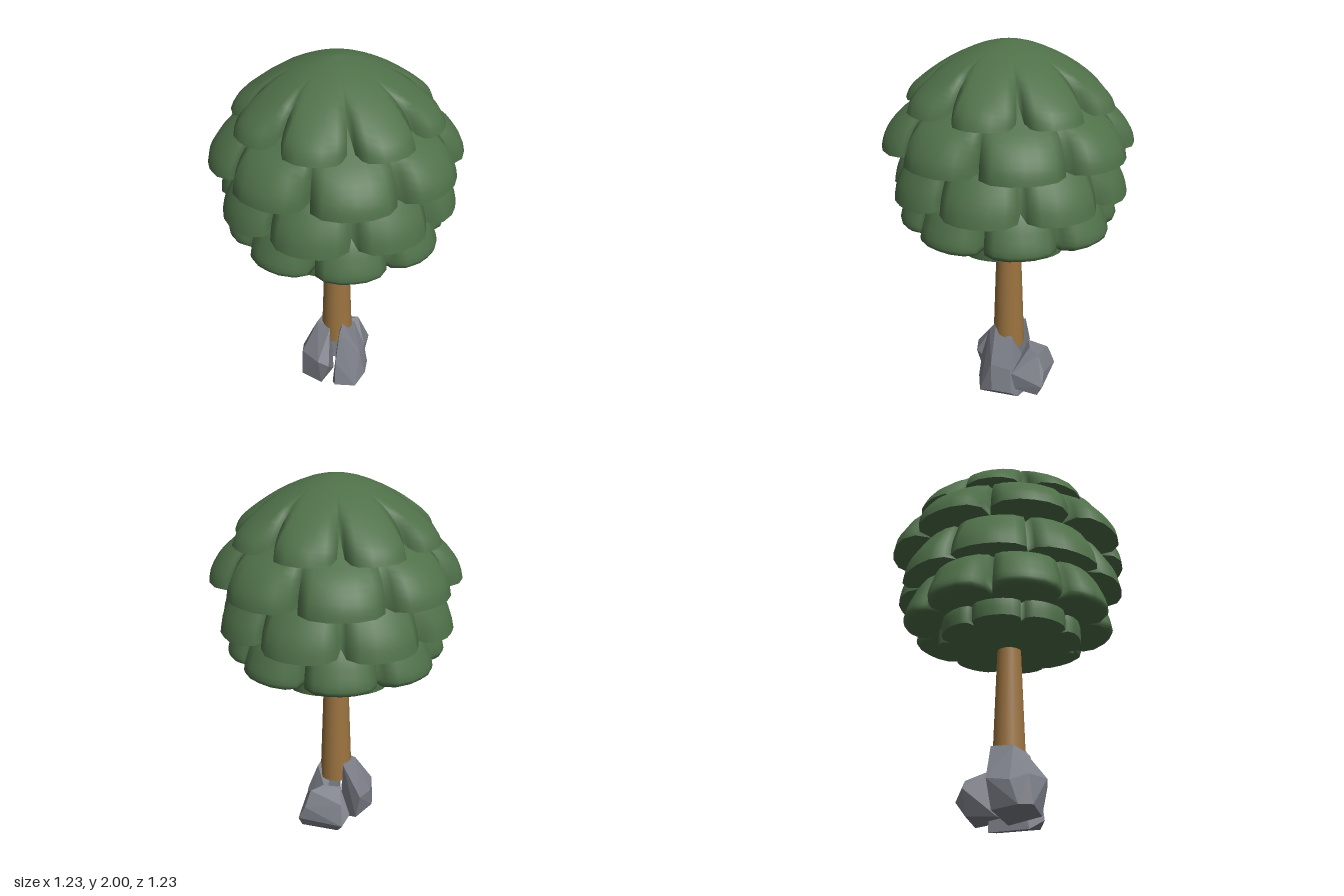
import * as THREE from 'three';
import { ConvexGeometry } from 'three/addons/geometries/ConvexGeometry.js';

const leafMaterial = new THREE.MeshStandardMaterial({ color: 0x4f7049 });
const barkMaterial = new THREE.MeshStandardMaterial({ color: 0x9c7440 });
const stoneMaterial = new THREE.MeshStandardMaterial({ color: 0x7e818a, flatShading: true });

const LOBES = 8;
// Half a lobe: angle from its middle (degrees) and how far the edge dips towards the notch
const HALF_LOBE = [[0, 0], [6.6, 0.02], [14.3, 0.18], [20.2, 0.5], [22.5, 1]];

// Columns around one tier, as angle and dip
function lobeColumns(offset) {
  const lobe = [...HALF_LOBE.slice(1).reverse().map(([a, d]) => [-a, d]), ...HALF_LOBE.slice(0, -1)];
  const columns = [];
  for (let i = 0; i < LOBES; i++) {
    for (const [a, d] of lobe) columns.push([THREE.MathUtils.degToRad(a + i * 45 + offset), d]);
  }
  return columns;
}

// Closed rings joined into a surface
function loft(rings) {
  const n = rings[0].length;
  const index = [];
  for (let i = 0; i < rings.length - 1; i++) {
    for (let j = 0; j < n; j++) {
      const a = i * n + j, b = i * n + (j + 1) % n;
      index.push(a, b, a + n, b, b + n, a + n);
    }
  }
  const geometry = new THREE.BufferGeometry().setFromPoints(rings.flat());
  geometry.setIndex(index);
  geometry.computeVertexNormals();
  return geometry;
}

// One scalloped skirt of leaves: domed top and a separate underside
function leafTier({ name, profile, offset, notch, centreY }) {
  const group = new THREE.Group();
  group.name = name;
  const columns = lobeColumns(offset);
  const curve = new THREE.SplineCurve(profile.map(([r, y]) => new THREE.Vector2(r, y)));
  const levels = curve.getPoints(14);
  const rim = levels[levels.length - 1];
  const slope = (centreY - rim.y) / rim.x;
  const soften = (x) => Math.pow(1 + Math.pow(x, 8), -1 / 8);

  const rings = levels.map((level, i) => columns.map(([angle, dip]) => {
    const reach = rim.x * (1 - (1 - notch) * dip);
    const r = level.x * soften(level.x / reach) / soften(level.x / rim.x);
    const lift = Math.pow(i / (levels.length - 1), 3) * slope * (level.x - r);
    return new THREE.Vector3(r * Math.cos(angle), level.y + lift, r * Math.sin(angle));
  }));
  const edge = rings[rings.length - 1];
  const centre = edge.map(() => new THREE.Vector3(0, centreY, 0));

  const top = new THREE.Mesh(loft(rings), leafMaterial);
  top.name = 'leafDome';
  const under = new THREE.Mesh(loft([edge, centre]), leafMaterial);
  under.name = 'leafUnderside';
  group.add(top, under);
  return group;
}

// Faceted stone wrapped around a few corner points
function rock(name, corners) {
  const geometry = new ConvexGeometry(corners.map((p) => new THREE.Vector3(...p)));
  const mesh = new THREE.Mesh(geometry, stoneMaterial);
  mesh.name = name;
  return mesh;
}

export function createModel() {
  const model = new THREE.Group();
  model.name = 'tree';

  // Canopy, from the crown down; every other tier is turned half a lobe
  const canopy = new THREE.Group();
  canopy.name = 'canopy';
  const tiers = [
    { name: 'crownTier', offset: 0, notch: 0.58, centreY: 1.71,
      profile: [[0, 2], [0.13, 1.975], [0.29, 1.905], [0.42, 1.82], [0.5, 1.75], [0.53, 1.69]] },
    { name: 'upperTier', offset: 22.5, notch: 0.7, centreY: 1.5,
      profile: [[0, 1.86], [0.25, 1.82], [0.43, 1.72], [0.55, 1.64], [0.62, 1.55], [0.64, 1.48]] },
    { name: 'middleTier', offset: 0, notch: 0.72, centreY: 1.39,
      profile: [[0, 1.66], [0.3, 1.62], [0.46, 1.52], [0.54, 1.42], [0.59, 1.33], [0.61, 1.25]] },
    { name: 'lowerTier', offset: 22.5, notch: 0.72, centreY: 1.1,
      profile: [[0, 1.45], [0.3, 1.4], [0.47, 1.29], [0.535, 1.18], [0.565, 1.09], [0.535, 1.06]] },
    { name: 'bottomTier', offset: 0, notch: 0.78, centreY: 0.94,
      profile: [[0, 1.25], [0.25, 1.2], [0.35, 1.13], [0.38, 1.06], [0.38, 0.98]] },
  ];
  for (const tier of tiers) canopy.add(leafTier(tier));
  model.add(canopy);

  // Tapered trunk
  const trunk = new THREE.Mesh(new THREE.CylinderGeometry(0.06, 0.087, 0.75, 16), barkMaterial);
  trunk.name = 'trunk';
  trunk.position.y = 0.675;
  model.add(trunk);

  // Stones clustered round the foot
  const rocks = new THREE.Group();
  rocks.name = 'rocks';
  rocks.add(
    rock('rightRock', [
      [-0.1, 0.4, 0.04], [-0.02, 0.39, 0.08], [-0.07, 0.41, -0.08],
      [-0.19, 0.2, 0.04], [-0.17, 0.23, 0.13], [-0.06, 0.23, 0.2], [0, 0.2, 0.19], [-0.17, 0.22, -0.08],
      [-0.19, 0.08, 0.08], [-0.17, 0.08, 0.15], [-0.05, 0.05, 0.17], [-0.02, 0.02, 0], [-0.14, 0.07, -0.06],
    ]),
    rock('leftRock', [
      [0.05, 0.43, 0.06], [0.02, 0.4, 0], [0.09, 0.36, -0.05], [0.04, 0.38, 0.1],
      [0.15, 0.22, 0.06], [0.15, 0.2, -0.05], [0.03, 0.2, 0.15], [0.02, 0.2, -0.1],
      [0.18, 0.07, 0.05], [0.17, 0.06, -0.06], [0.14, 0.03, 0.13], [0.03, 0.05, 0.17],
      [0, 0.005, 0.1], [0.02, 0, -0.11], [0.13, 0.02, -0.09],
    ]),
    rock('backRock', [
      [-0.06, 0.28, -0.1], [0.03, 0.29, -0.13], [0.08, 0.28, -0.19], [-0.1, 0.23, -0.2],
      [0.15, 0.18, -0.06], [0.14, 0.11, -0.23], [-0.15, 0.18, -0.2], [-0.12, 0.12, -0.24],
      [0.1, 0.19, -0.23], [0.14, 0.08, -0.03], [0.13, 0.05, -0.2], [-0.08, 0.06, -0.2], [-0.05, 0.06, -0.05],
    ]),
  );
  model.add(rocks);
  return model;
}
